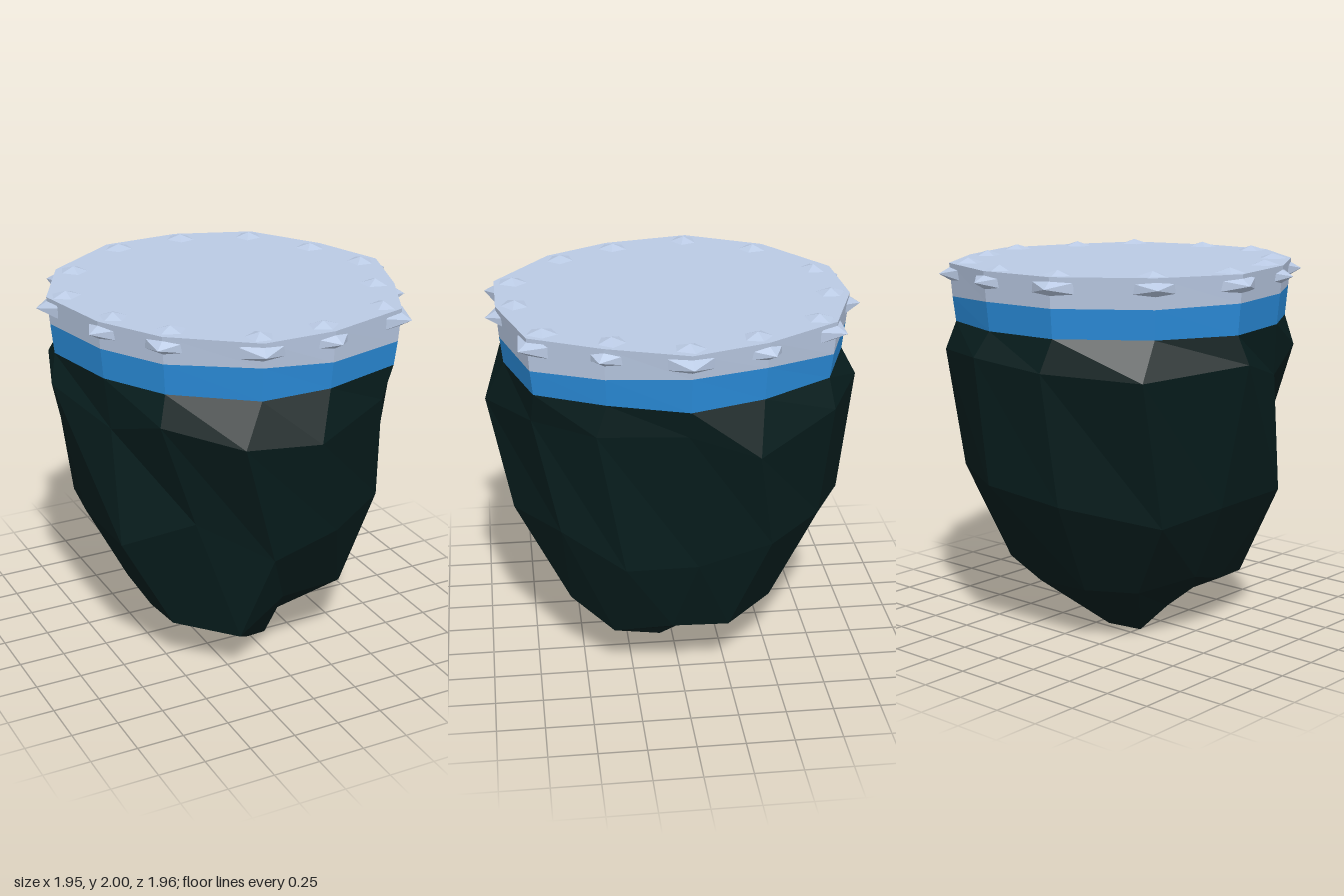
import * as THREE from 'three';

// Column outline of the slab, as x, z, counter-clockwise from the front
const outline = [
  [0.13, 0.9], [0.59, 0.76], [0.77, 0.4], [0.91, -0.01], [0.78, -0.4], [0.54, -0.78], [0.13, -0.93],
  [-0.3, -0.91], [-0.72, -0.61], [-0.93, -0.2], [-0.84, 0.26], [-0.65, 0.6], [-0.26, 0.9],
];
// Uneven seam height between slab and band
const seamY = [1.81, 1.8, 1.81, 1.85, 1.84, 1.8, 1.82, 1.82, 1.82, 1.83, 1.83, 1.83, 1.845];

// Rock cross-sections, as x, y, z per column
const bulge = [
  [0.03, 1.43, 0.975], [0.5, 1.5, 0.75], [0.74, 1.5, 0.44], [0.85, 1.53, 0], [0.86, 1.4, -0.36],
  [0.58, 1.52, -0.78], [0.17, 1.54, -0.97], [-0.25, 1.5, -0.93], [-0.74, 1.48, -0.73],
  [-0.94, 1.52, -0.15], [-0.79, 1.4, 0.27], [-0.67, 1.51, 0.61], [-0.36, 1.45, 0.92],
];
const middle = [
  [0.2, 0.87, 0.85], [0.57, 0.9, 0.62], [0.72, 0.73, 0.3], [0.75, 0.75, -0.07], [0.73, 0.85, -0.45],
  [0.5, 0.9, -0.73], [0.15, 0.87, -0.9], [-0.27, 0.81, -0.83], [-0.7, 0.71, -0.53],
  [-0.78, 0.76, -0.15], [-0.78, 0.77, 0.34], [-0.48, 0.94, 0.6], [-0.12, 0.73, 0.78],
];
const lower = [
  [0.03, 0.4, 0.6], [0.38, 0.4, 0.57], [0.52, 0.26, 0.35], [0.62, 0.33, 0.05], [0.6, 0.31, -0.25],
  [0.4, 0.36, -0.5], [0.1, 0.3, -0.58], [-0.2, 0.3, -0.56], [-0.45, 0.3, -0.42],
  [-0.57, 0.34, -0.1], [-0.54, 0.27, 0.15], [-0.51, 0.26, 0.37], [-0.24, 0.24, 0.63],
];
const foot = [
  [0.08, 0.015, 0.3], [0.2, 0.08, 0.2], [0.27, 0.07, 0.08], [0.26, 0.1, 0], [0.2, 0.12, -0.12],
  [0.1, 0.1, -0.2], [-0.02, 0.08, -0.25], [-0.14, 0.04, -0.3], [-0.26, 0, -0.18],
  [-0.34, 0.12, -0.05], [-0.4, 0.2, 0.1], [-0.18, 0.1, 0.2], [-0.03, 0.01, 0.3],
];

// Flat-faced skin over rings listed from bottom to top, with optional end centres
function skin(rings, bottomCentre, topCentre) {
  const p = [];
  const tri = (a, b, c) => p.push(...a, ...b, ...c);
  const n = rings[0].length;
  const last = rings[rings.length - 1];
  for (let i = 0; i < n; i++) {
    const j = (i + 1) % n;
    for (let k = 0; k + 1 < rings.length; k++) {
      const lo = rings[k], hi = rings[k + 1];
      tri(lo[i], lo[j], hi[i]);
      tri(lo[j], hi[j], hi[i]);
    }
    if (bottomCentre) tri(bottomCentre, rings[0][j], rings[0][i]);
    if (topCentre) tri(topCentre, last[i], last[j]);
  }
  const g = new THREE.BufferGeometry();
  g.setAttribute('position', new THREE.Float32BufferAttribute(p, 3));
  g.computeVertexNormals();
  return g;
}

// Faceted cone standing on y = 0
function spike(sides, x, y, z) {
  const g = new THREE.ConeGeometry(1, 1, sides, 1).toNonIndexed();
  g.translate(0, 0.5, 0);
  g.scale(x, y, z);
  g.computeVertexNormals();
  return g;
}

export function createModel() {
  const group = new THREE.Group();
  const material = (name, color) => {
    const m = new THREE.MeshStandardMaterial({ color });
    m.name = name;
    return m;
  };
  const stone = material('pale stone', 0xbacae4);
  const blue = material('blue', 0x2a8cda);
  const darkRock = material('dark rock', 0x071d1d);
  const add = (name, geometry, mat, parent = group) => {
    const mesh = new THREE.Mesh(geometry, mat);
    mesh.name = name;
    parent.add(mesh);
    return mesh;
  };

  const topRing = outline.map(([x, z]) => [x, 1.975, z]);
  const seamRing = outline.map(([x, z], i) => [x * 0.985, seamY[i], z * 0.985]);
  const bandRing = outline.map(([x, z]) => [x * 0.968, 1.67, z * 0.968]);

  // Slab, band and hanging rock
  add('topSlab', skin([seamRing, topRing], null, [0, 1.975, 0]), stone);
  add('blueBand', skin([bandRing, seamRing]), blue);
  add('rock', skin([foot, lower, middle, bulge, bandRing], [0, 0.12, 0.02]), darkRock);

  // Studs on the rim: a blunt point on the side and a low one on top at every corner
  const studs = new THREE.Group();
  studs.name = 'rimStuds';
  group.add(studs);
  const sideShape = spike(6, 0.13, 0.095, 0.055).rotateX(Math.PI / 2);
  const topShape = spike(5, 0.085, 0.026, 0.075);
  outline.forEach(([x, z], i) => {
    const angle = Math.atan2(x, z);
    const r = Math.hypot(x, z);
    const side = add('sideStud', sideShape, stone, studs);
    side.position.set(x * (1 - 0.04 / r), 1.92, z * (1 - 0.04 / r));
    side.rotation.y = angle;
    const top = add('topStud', topShape, stone, studs);
    top.position.set(x * (1 - 0.1 / r), 1.974, z * (1 - 0.1 / r));
    top.rotation.y = angle + i * 0.9;
  });
  return group;
}
